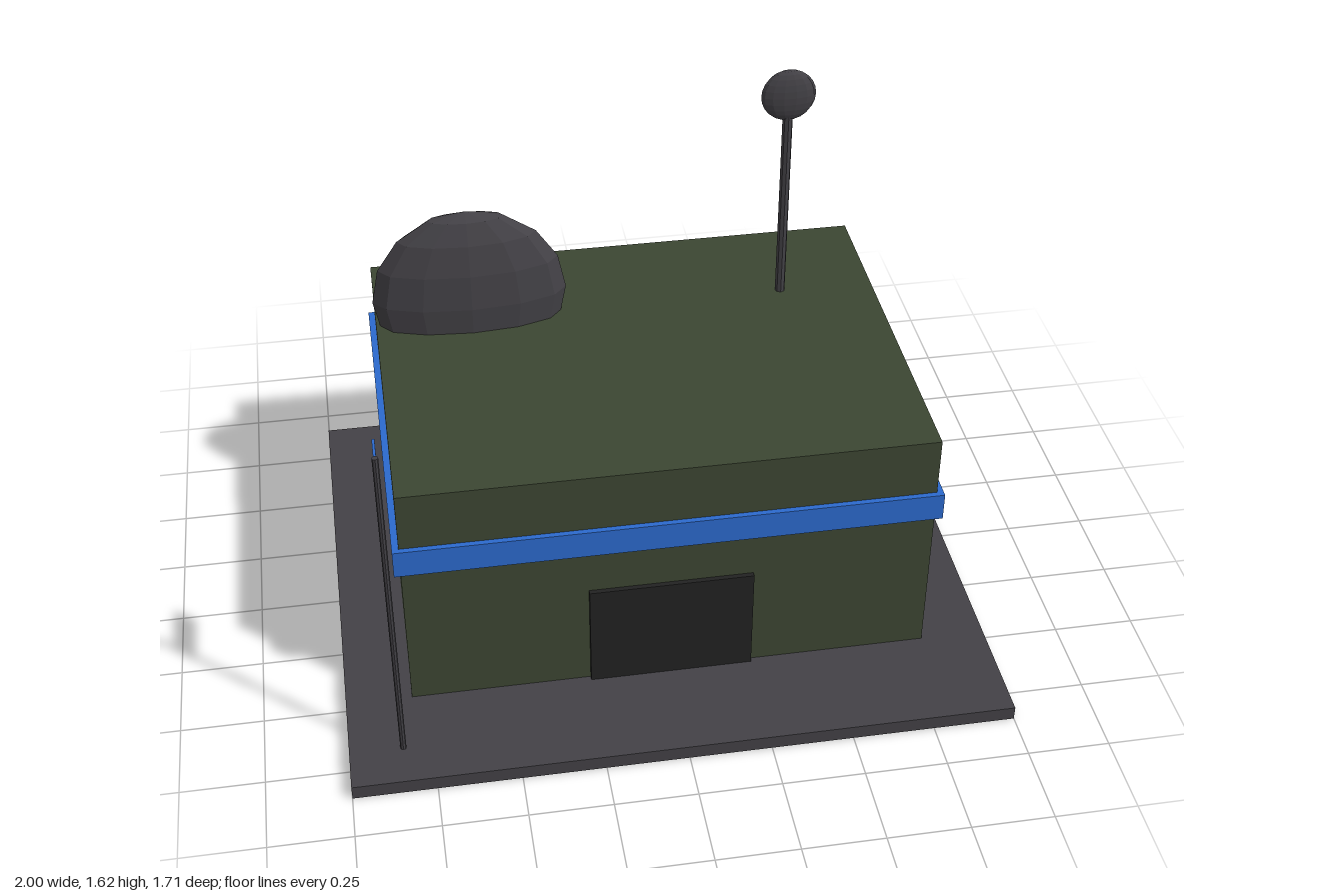
import * as THREE from 'three';

const mat = (name, color, flatShading = false) => {
  const m = new THREE.MeshStandardMaterial({ color, flatShading });
  m.name = name;
  return m;
};

export function createModel() {
  const model = new THREE.Group();
  model.name = 'bunker';
  const grey = mat('dark grey', 0x434146, true);
  const green = mat('olive green', 0x3c4632);
  const blue = mat('signal blue', 0x2c6acd);
  const black = mat('door black', 0x222222);

  const add = (name, geometry, material, x, y, z) => {
    const mesh = new THREE.Mesh(geometry, material);
    mesh.name = name;
    mesh.position.set(x, y, z);
    model.add(mesh);
    return mesh;
  };
  // Box given by its minimum and maximum corners
  const box = (name, material, [x0, y0, z0], [x1, y1, z1]) =>
    add(name, new THREE.BoxGeometry(x1 - x0, y1 - y0, z1 - z0), material,
      (x0 + x1) / 2, (y0 + y1) / 2, (z0 + z1) / 2);
  // Upright rod between two heights
  const rod = (name, r, x, z, y0, y1) =>
    add(name, new THREE.CylinderGeometry(r, r, y1 - y0, 8), grey, x, (y0 + y1) / 2, z);
  // Sphere flattened along z
  const disc = (name, r, rz, w, h, x, y, z) =>
    add(name, new THREE.SphereGeometry(r, w, h).scale(1, 1, rz / r), grey, x, y, z);

  // Ground slab and building
  box('baseSlab', grey, [-1, 0, -0.855], [1, 0.045, 0.855]);
  box('building', green, [-0.8, 0.045, -0.685], [0.8, 0.83, 0.515]);
  box('stripeBand', blue, [-0.82, 0.55, -0.702], [0.82, 0.64, 0.532]);
  box('door', black, [-0.25, 0.045, 0.51], [0.25, 0.4, 0.53]);

  // Roof dish and antenna
  disc('roofDish', 0.305, 0.091, 12, 8, -0.5, 0.92, -0.343);
  rod('antennaMast', 0.016, 0.5, -0.343, 0.82, 1.5);
  disc('antennaHead', 0.085, 0.028, 14, 12, 0.5, 1.54, -0.343);

  // Flagpole and flag
  rod('flagpole', 0.009, -0.84, 0.72, 0.045, 1.143);
  box('flag', blue, [-0.845, 0.98, 0.55], [-0.837, 1.075, 0.716]);

  return model;
}
